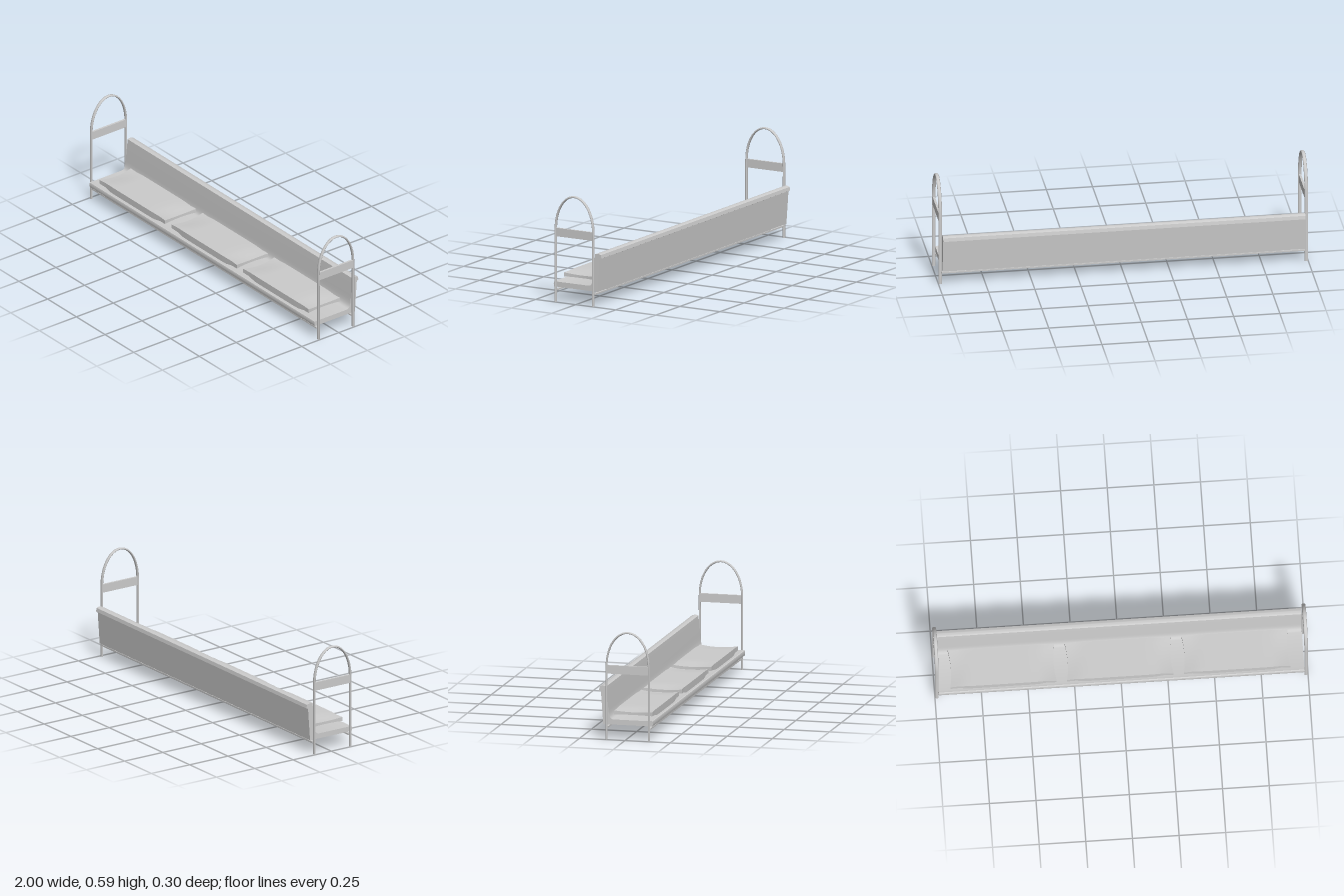
import * as THREE from 'three';
import { toCreasedNormals } from 'three/addons/utils/BufferGeometryUtils.js';

const material = new THREE.MeshStandardMaterial({ color: 0xcccccc });
const FRONT = 0.13, BACK = -0.104, MID = (FRONT + BACK) / 2, HALF = (FRONT - BACK) / 2;

function add(parent, name, geometry, x = 0, y = 0, z = 0) {
  const mesh = new THREE.Mesh(geometry, material);
  mesh.name = name;
  mesh.position.set(x, y, z);
  parent.add(mesh);
  return mesh;
}

// Seat and backrest in one L-shaped section, swept along x
function benchShell() {
  const s = new THREE.Shape();
  s.moveTo(0.138, 0.08);
  s.lineTo(0.147, 0.08);
  s.quadraticCurveTo(0.151, 0.095, 0.147, 0.107);
  s.lineTo(0.142, 0.11);
  s.lineTo(0.13, 0.108);
  s.lineTo(-0.07, 0.108);
  s.bezierCurveTo(-0.09, 0.11, -0.095, 0.13, -0.098, 0.18);
  s.lineTo(-0.109, 0.285);
  s.quadraticCurveTo(-0.125, 0.294, -0.145, 0.284);
  s.lineTo(-0.149, 0.265);
  s.lineTo(-0.138, 0.26);
  s.lineTo(-0.125, 0.08);
  s.closePath();
  const g = new THREE.ExtrudeGeometry(s, { depth: 1.96, bevelEnabled: false, curveSegments: 6 });
  g.translate(0, 0, -0.98);
  g.rotateY(-Math.PI / 2);
  return toCreasedNormals(g, 0.6);
}

// Cushion: a box thinned towards its ends, with slightly hollow edges
function cushionGeometry() {
  const g = new THREE.BoxGeometry(2, 2, 2, 12, 1, 8);
  const p = g.attributes.position;
  for (let i = 0; i < p.count; i++) {
    const u = p.getX(i), v = p.getY(i), w = p.getZ(i);
    const t = THREE.MathUtils.smoothstep(Math.abs(u), 0.62, 0.95);
    const thick = THREE.MathUtils.lerp(0.0185, 0.007 + 0.004 * w * w, t);
    const corner = t * 0.004 * (1 - w * w);
    const pinch = 0.004 * Math.sin(Math.PI * t);
    p.setXYZ(i,
      u * (0.285 - 0.01 * (1 - w * w) * t),
      0.1285 + t * 0.005 + v * thick - corner,
      0.0245 + w * (0.1055 - pinch));
  }
  return toCreasedNormals(g, 0.5);
}

// End frame: one bent flat tube plus a cross plate
function endFrame(x) {
  const frame = new THREE.Group();
  frame.name = 'endFrame';
  const points = [];
  for (let i = 0; i <= 4; i++) points.push(new THREE.Vector3(0, i * 0.1, FRONT));
  for (let i = 1; i < 16; i++) {
    const a = (i / 16) * Math.PI;
    points.push(new THREE.Vector3(0, 0.4 + 0.186 * Math.sin(a), MID + HALF * Math.cos(a)));
  }
  for (let i = 4; i >= 0; i--) points.push(new THREE.Vector3(0, i * 0.1, BACK));
  const path = new THREE.CatmullRomCurve3(points);
  const tube = add(frame, 'archTube', new THREE.TubeGeometry(path, 80, 0.0054, 8), x);
  tube.scale.x = 0.01 / 0.0054;
  // Foot caps
  for (const z of [FRONT, BACK]) {
    const cap = new THREE.CircleGeometry(0.0054, 8);
    cap.rotateX(Math.PI / 2);
    add(frame, 'footCap', cap, x, 0, z).scale.x = 0.01 / 0.0054;
  }
  add(frame, 'crossPlate', new THREE.BoxGeometry(0.012, 0.046, 2 * HALF - 0.006), x, 0.383, MID);
  return frame;
}

export function createModel() {
  const model = new THREE.Group();
  model.name = 'bench';

  add(model, 'seatAndBackrest', benchShell());

  // Underframe: central panel and two long rails reaching the legs
  add(model, 'underPanel', new THREE.BoxGeometry(1.7, 0.014, 0.246), 0, 0.074, 0.015);
  for (const z of [FRONT, BACK]) {
    add(model, 'underRail', new THREE.BoxGeometry(1.965, 0.008, 0.014), 0, 0.066, z);
  }

  const cushion = cushionGeometry();
  for (const x of [-0.632, -0.006, 0.62]) add(model, 'cushion', cushion, x);

  for (const x of [-0.99, 0.99]) model.add(endFrame(x));
  return model;
}
